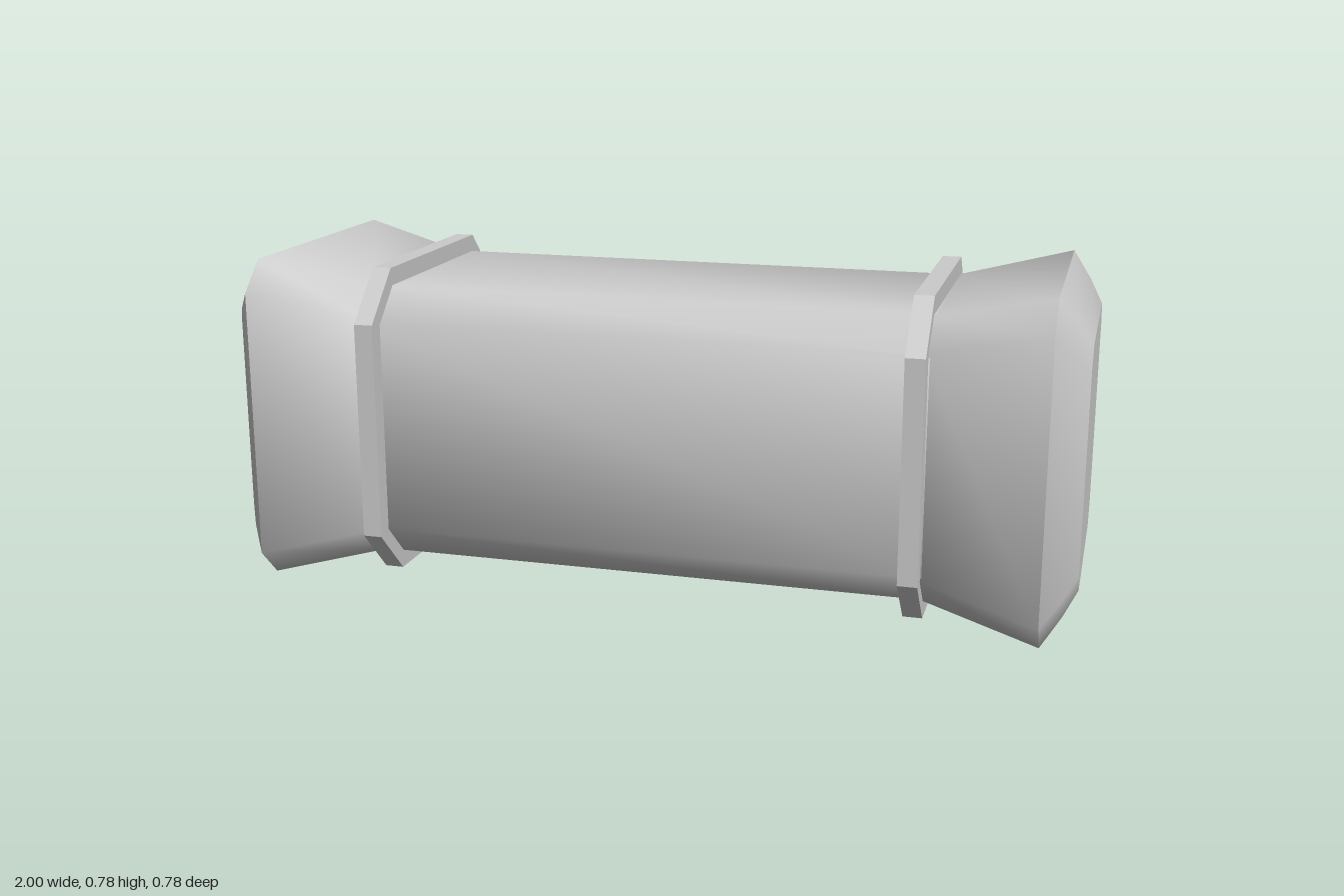
import * as THREE from 'three';
import { mergeGeometries, toCreasedNormals } from 'three/addons/utils/BufferGeometryUtils.js';

const material = new THREE.MeshStandardMaterial({ color: 0xcccccc });
const CENTRE_Y = 0.39;

// Chamfered square with half size h and chamfer c, counter-clockwise seen from +x
function section([x, h, c]) {
  const k = h - c;
  return [[h, -k], [h, k], [k, h], [-k, h], [-h, k], [-h, -k], [-k, -h], [k, -h]]
    .map(([y, z]) => [x, y, z]);
}

function toGeometry(positions) {
  const g = new THREE.BufferGeometry();
  g.setAttribute('position', new THREE.Float32BufferAttribute(positions.flat(), 3));
  return g;
}

// Skin over sections ordered by rising x, closed by a flat face at each end
function loft(rows, crease) {
  const loops = rows.map(section);
  const skin = [], ends = [];
  for (let i = 0; i < loops.length - 1; i++) {
    for (let j = 0; j < 8; j++) {
      const n = (j + 1) % 8;
      const a = loops[i][j], b = loops[i][n], c = loops[i + 1][n], d = loops[i + 1][j];
      skin.push(a, b, c, a, c, d);
    }
  }
  const first = loops[0], last = loops[loops.length - 1];
  for (let j = 1; j < 7; j++) {
    ends.push(last[0], last[j], last[j + 1]);
    ends.push(first[0], first[j + 1], first[j]);
  }
  const endFaces = toGeometry(ends);
  endFaces.computeVertexNormals();
  return mergeGeometries([toCreasedNormals(toGeometry(skin), crease), endFaces]);
}

export function createModel() {
  const group = new THREE.Group();
  const add = (name, geometry, turn = 0) => {
    const mesh = new THREE.Mesh(geometry, material);
    mesh.name = name;
    mesh.position.y = CENTRE_Y;
    mesh.rotation.y = turn;
    group.add(mesh);
  };

  // Long central body
  add('body', loft([[-0.67, 0.33, 0.08], [0.67, 0.33, 0.08]], 0.85));

  // Flat collar and flared, bevelled end block, repeated at both ends
  const collar = loft([[0.615, 0.372, 0.115], [0.66, 0.372, 0.115]], 0.1);
  const endBlock = loft([
    [0.65, 0.327, 0.07],
    [0.925, 0.39, 0.07],
    [0.97, 0.33, 0.06],
    [1, 0.28, 0.05],
  ], 0.85);
  for (const [side, turn] of [['left', 0], ['right', Math.PI]]) {
    add(side + 'Collar', collar, turn);
    add(side + 'EndBlock', endBlock, turn);
  }
  return group;
}
